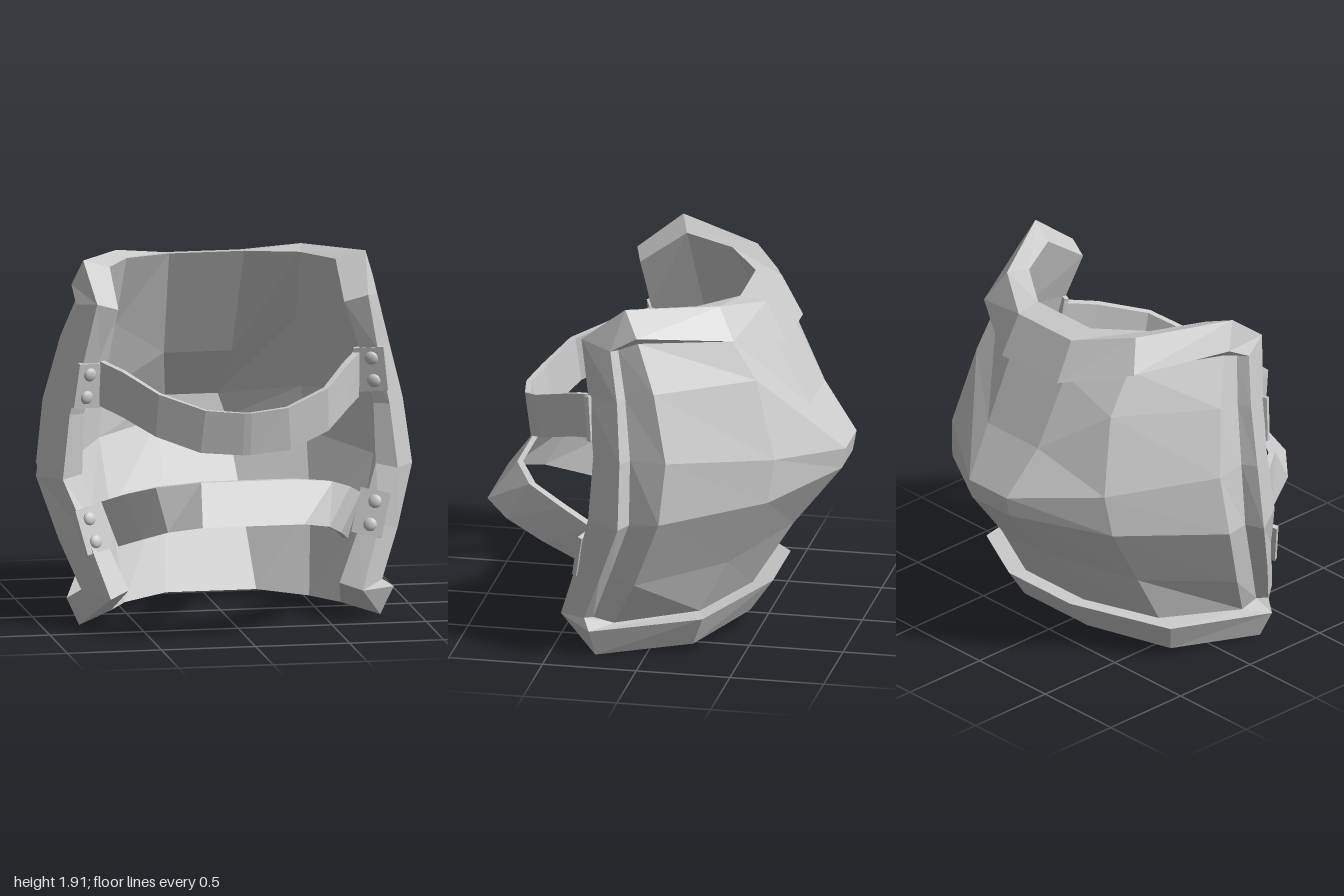
import * as THREE from 'three';

const material = new THREE.MeshStandardMaterial({ color: 0xcccccc, flatShading: true });
const smooth = new THREE.MeshStandardMaterial({ color: 0xcccccc });
const flipX = ([x, y, z]) => [-x, y, z];
// Right half of a row, continued with its mirror image
const mirrorRow = (row) => [...row, ...row.slice().reverse().map(flipX)];

// Flat-shaded surface through rows of points
function gridMesh(name, rows, flip, extra = []) {
  const pos = [];
  const tri = (a, b, c) => pos.push(...a, ...(flip ? c : b), ...(flip ? b : c));
  for (let i = 0; i < rows.length - 1; i++) {
    for (let j = 0; j < rows[i].length - 1; j++) {
      const p = rows[i][j], q = rows[i][j + 1], r = rows[i + 1][j + 1], s = rows[i + 1][j];
      tri(p, q, r);
      tri(p, r, s);
    }
  }
  extra.forEach((t) => tri(...t));
  const g = new THREE.BufferGeometry();
  g.setAttribute('position', new THREE.Float32BufferAttribute(pos, 3));
  g.computeVertexNormals();
  const mesh = new THREE.Mesh(g, material);
  mesh.name = name;
  return mesh;
}

// Border sections, top centre round to bottom centre: inner edge, crest, lip, groove root
const border = [
  [[0.2, 1.83, -0.39], [0.2, 1.81, -0.53], [0.21, 1.6, -0.64], [0.2, 1.62, -0.57]],
  [[0.46, 1.85, -0.21], [0.49, 1.87, -0.34], [0.57, 1.71, -0.43], [0.5, 1.7, -0.4]],
  [[0.6, 1.86, 0.06], [0.75, 1.91, 0.11], [0.8, 1.77, 0.04], [0.76, 1.73, 0.04]],
  [[0.6, 1.68, 0.31], [0.72, 1.72, 0.35], [0.8, 1.69, 0.18], [0.74, 1.68, 0.15]],
  [[0.69, 1.42, 0.27], [0.78, 1.42, 0.3], [0.87, 1.43, 0.13], [0.8, 1.43, 0.1]],
  [[0.77, 1.12, 0.23], [0.85, 1.12, 0.26], [0.95, 1.12, 0.1], [0.87, 1.12, 0.06]],
  [[0.78, 0.8, 0.24], [0.89, 0.78, 0.28], [1.0, 0.77, 0.1], [0.9, 0.77, 0.06]],
  [[0.67, 0.46, 0.32], [0.78, 0.5, 0.36], [0.9, 0.45, 0.22], [0.82, 0.45, 0.18]],
  [[0.56, 0.2, 0.39], [0.67, 0.17, 0.47], [0.8, 0.2, 0.32], [0.75, 0.19, 0.28]],
  [[0.61, 0.05, 0.15], [0.8, 0, 0.26], [0.87, 0.15, 0.28], [0.76, 0.17, 0.17]],
  [[0.49, 0.04, -0.1], [0.64, 0.04, -0.23], [0.7, 0.2, -0.29], [0.57, 0.2, -0.25]],
  [[0.24, 0.05, -0.27], [0.24, 0.1, -0.45], [0.23, 0.27, -0.57], [0.22, 0.25, -0.46]],
];

// Shell points between the borders: side ridge, quarter and centre columns
const outerRows = [
  [[0.84, 1.48, -0.06], [0.51, 1.48, -0.54], [0.19, 1.25, -0.76]],
  [[0.92, 1.13, -0.14], [0.58, 1.07, -0.65], [0.14, 1.0, -0.94]],
  [[0.96, 0.8, -0.11], [0.61, 0.84, -0.62], [0.14, 0.89, -0.92]],
  [[0.86, 0.42, 0.04], [0.57, 0.48, -0.4], [0.18, 0.58, -0.67]],
];
// Lining points: side, quarter and centre columns
const innerRows = [
  [[0.71, 1.46, 0.0], [0.48, 1.46, -0.42], [0.18, 1.25, -0.65]],
  [[0.8, 1.12, -0.06], [0.53, 1.07, -0.54], [0.14, 0.99, -0.83]],
  [[0.82, 0.8, -0.03], [0.55, 0.84, -0.51], [0.18, 0.87, -0.81]],
  [[0.72, 0.43, 0.1], [0.53, 0.48, -0.28], [0.2, 0.56, -0.56]],
];

// Joins shell points to border column k, using the given top and bottom sections
function shellRows(middle, k, top, bottom) {
  const pick = (ids) => ids.map((i) => border[i][k]);
  return [pick(top), ...middle.map((m, i) => [border[4 + i][k], ...m]), pick(bottom)].map(mirrorRow);
}

// Strap stations: top x, y, z then bottom x, y, z, from the left end inward
const upperStrap = [
  [0.69, 1.4, 0.27, 0.69, 1.16, 0.25], [0.6, 1.37, 0.42, 0.6, 1.13, 0.41],
  [0.45, 1.29, 0.65, 0.46, 1.06, 0.62], [0.22, 1.215, 0.755, 0.24, 0.985, 0.72],
  [0.02, 1.2, 0.79, 0.02, 0.97, 0.75],
];
const lowerStrap = [
  [0.69, 0.66, 0.3, 0.61, 0.43, 0.36], [0.6, 0.73, 0.48, 0.53, 0.51, 0.6],
  [0.47, 0.8, 0.68, 0.43, 0.585, 0.81], [0.25, 0.84, 0.79, 0.27, 0.63, 0.945],
];

function strap(name, half) {
  const section = ([a, b, c, d, e, f]) => {
    const top = [a, b, c], bottom = [d, e, f];
    const inset = ([x, y, z]) => [x * 0.96, y, z - 0.03];
    return [top, bottom, inset(bottom), inset(top), top];
  };
  const right = half.map(section);
  const left = right.slice().reverse().map((s) => s.map(flipX));
  return gridMesh(name, [...right, ...left], true);
}

// Riveted end plate of a strap, turned inward to lie on the border's front face
function tab(name, side, x, y, z, tiltX, tiltZ) {
  const g = new THREE.Group();
  g.name = name;
  const plate = new THREE.Mesh(new THREE.BoxGeometry(0.16, 0.24, 0.025), material);
  plate.name = 'plate';
  g.add(plate);
  for (const s of [-1, 1]) {
    const rivet = new THREE.Mesh(new THREE.SphereGeometry(0.036, 12, 8), smooth);
    rivet.name = 'rivet';
    rivet.scale.z = 0.5;
    rivet.position.set(side * 0.01, s * 0.062, 0.013);
    g.add(rivet);
  }
  g.position.set(side * x, y, z);
  g.rotation.set(tiltX, -side * 0.35, side * tiltZ);
  return g;
}

export function createModel() {
  const model = new THREE.Group();
  model.name = 'jointGuard';

  // Raised border running all the way round
  const loop = [...border, ...border.slice().reverse().map((s) => s.map(flipX)), border[0]];
  model.add(gridMesh('border', loop, true));

  // Bulging plate, outside and lining
  model.add(gridMesh('outerShell', shellRows(outerRows, 3, [3, 2, 1, 0], [8, 9, 10, 11]), true));
  const lining = shellRows(innerRows, 0, [3, 2, 1, 0], [8, 9, 10, 11]);
  model.add(gridMesh('innerLining', lining, false));

  // Straps and their riveted ends, the right ends sitting slightly lower
  model.add(strap('upperStrap', upperStrap), strap('lowerStrap', lowerStrap));
  for (const side of [1, -1]) {
    const label = side > 0 ? 'left' : 'right';
    const drop = side > 0 ? 0 : 0.035;
    model.add(tab(label + 'UpperTab', side, 0.75, 1.31 - drop, 0.268, 0.13, 0.13));
    model.add(tab(label + 'LowerTab', side, 0.74, 0.555 - drop, 0.325 + drop / 3, -0.27, -0.26));
  }
  return model;
}
